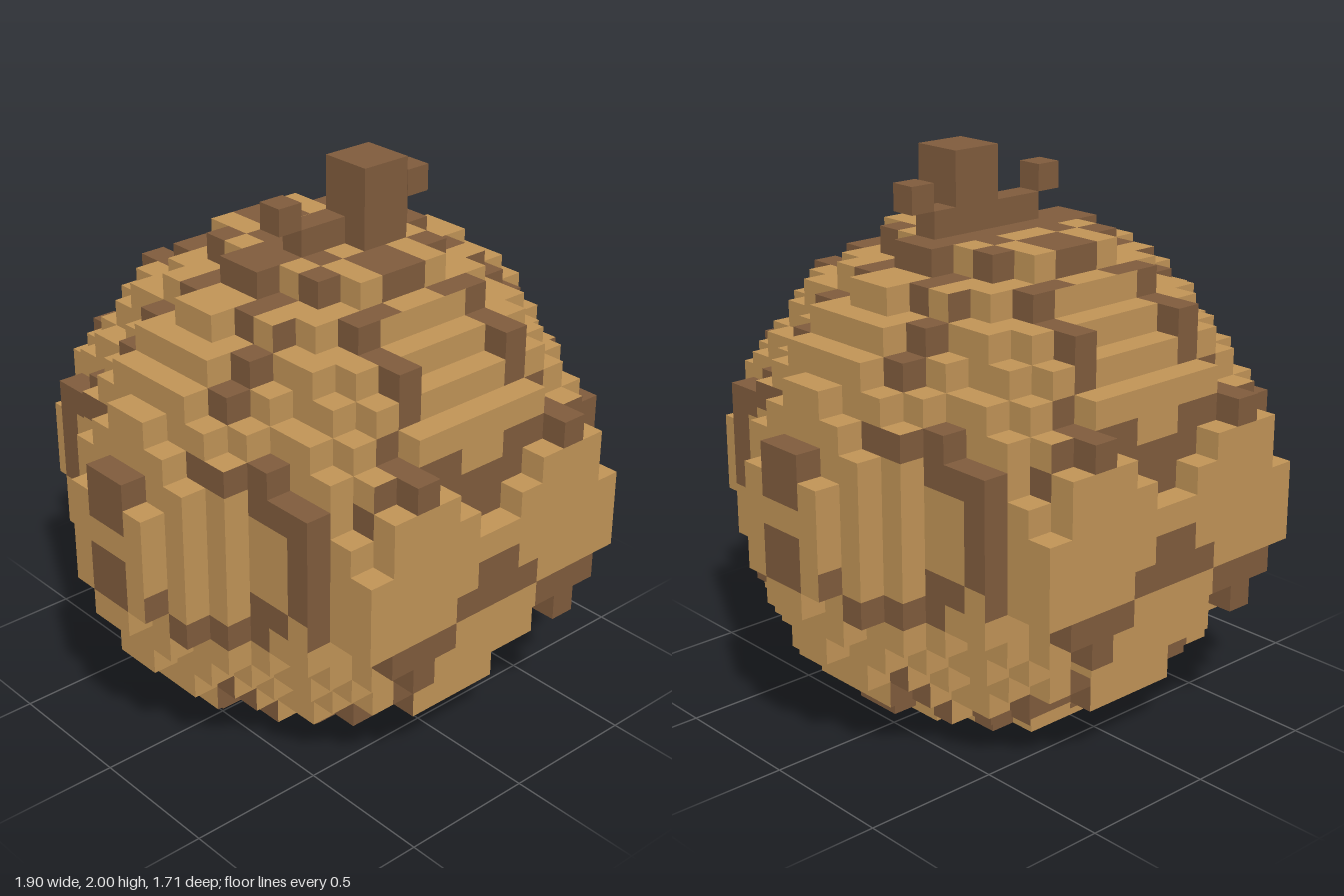
import * as THREE from 'three';
import { mergeGeometries } from 'three/addons/utils/BufferGeometryUtils.js';

const S = 2 / 21; // cell size

// Brown cells per layer, as distances from the middle plane (digits)
const FRONT = ['2', '035', '236', '2', '', '3', '23478', '0169', '06', '6', '06', '0169', '123467', '3', '26', '25', '24', '023'];
const SIDE = ['2', '0234', '256', '2', '', '8', '2348', '045', '06', '6', '06', '04567', '2348', '', '2', '26', '14', '02'];
const TOP = ['01239', '134', '0256', '0', '126', '26', '26', '3', '3'];
// Widest half width for each depth, and cells of the raised front and back panels
const WIDTH = [10, 10, 9, 8, 7, 7, 7, 6, 6];
const PANEL = { 5: '3', 6: '01234', 7: '012345', 8: '012345', 9: '012345', 10: '1234', 11: '234', 12: '3' };

const half = (n) => (n < 0 ? -n - 1 : n); // signed cell to mirrored cell
const has = (rows, row, cell) => (rows[row] ?? '').includes(String(cell));

// Is a cell of the stepped ball filled?
function filled(x, y, z) {
  const i = half(x), j = half(y - 9), k = half(z);
  if (j > 8 || k > 8 || i >= WIDTH[k]) return false;
  if (k === 8) return has(PANEL, y, i);
  if (k === 7 && has(PANEL, y, i)) return true;
  if (k === 6 && y === 15) return i === 2; // knobs above the panels
  const [a, b, c] = [i + 0.5, j + 0.5, k + 0.5];
  const cut = i > k && k > 0 ? 0.0008 * a * b * c : 0; // hollows the diagonals beside the ends
  return (a / 9.9) ** 2 + (b * b + c * c) / 86.49 + cut < 1;
}

// Is the face of a cell brown, given its direction?
function isBrown(x, y, z, [dx, dy]) {
  const i = half(x), k = half(z);
  if (dx) return has(SIDE, y, k);
  if (dy > 0) return has(TOP, k, i);
  if (dy < 0) {
    if (y === 0) return i === k && (x === z || i === 1);
    const outward = filled(x, y, z < 0 ? z - 1 : z + 1);
    return outward ? has(SIDE, y, k) : has(FRONT, y, i);
  }
  return has(FRONT, y, i);
}

// One square face of a cell
function face(x, y, z, d) {
  const g = new THREE.PlaneGeometry(S, S);
  if (d[0]) g.rotateY(d[0] * Math.PI / 2);
  else if (d[1]) g.rotateX(-d[1] * Math.PI / 2);
  else if (d[2] < 0) g.rotateY(Math.PI);
  return g.translate((x + 0.5 + d[0] / 2) * S, (y + 0.5 + d[1] / 2) * S, (z + 0.5 + d[2] / 2) * S);
}

export function createModel() {
  const model = new THREE.Group();
  model.name = 'blockBall';
  const tan = new THREE.MeshStandardMaterial({ color: 0xc09356 });
  tan.name = 'tan';
  const brown = new THREE.MeshStandardMaterial({ color: 0x7f5b3c });
  brown.name = 'brown';

  // Ball: only the outer faces, sorted by colour
  const tanFaces = [], brownFaces = [];
  const dirs = [[1, 0, 0], [-1, 0, 0], [0, 1, 0], [0, -1, 0], [0, 0, 1], [0, 0, -1]];
  for (let x = -10; x < 10; x++)
    for (let y = 0; y < 18; y++)
      for (let z = -9; z < 9; z++) {
        if (!filled(x, y, z)) continue;
        for (const d of dirs) {
          if (filled(x + d[0], y + d[1], z + d[2])) continue;
          (isBrown(x, y, z, d) ? brownFaces : tanFaces).push(face(x, y, z, d));
        }
      }
  const add = (name, geometry, material) => {
    const mesh = new THREE.Mesh(geometry, material);
    mesh.name = name;
    model.add(mesh);
  };
  add('ballShell', mergeGeometries(tanFaces), tan);
  add('ballMarkings', mergeGeometries(brownFaces), brown);

  // Stem with a low crossbar and two buds, placed by lowest corner and size in cells
  const block = (name, x, y, z, w, h, d) =>
    add(name, new THREE.BoxGeometry(w * S, h * S, d * S)
      .translate((x + w / 2) * S, (y + h / 2) * S, (z + d / 2) * S), brown);
  block('stem', 0, 18, 0, 2, 3, 2);
  block('rightTwig', -2, 18, 0, 2, 1, 1);
  block('leftTwig', 2, 18, 0, 1, 1, 1);
  block('rightBud', -3, 19, 0, 1, 1, 1);
  block('leftBud', 3, 19, 0, 1, 1, 1);
  return model;
}
